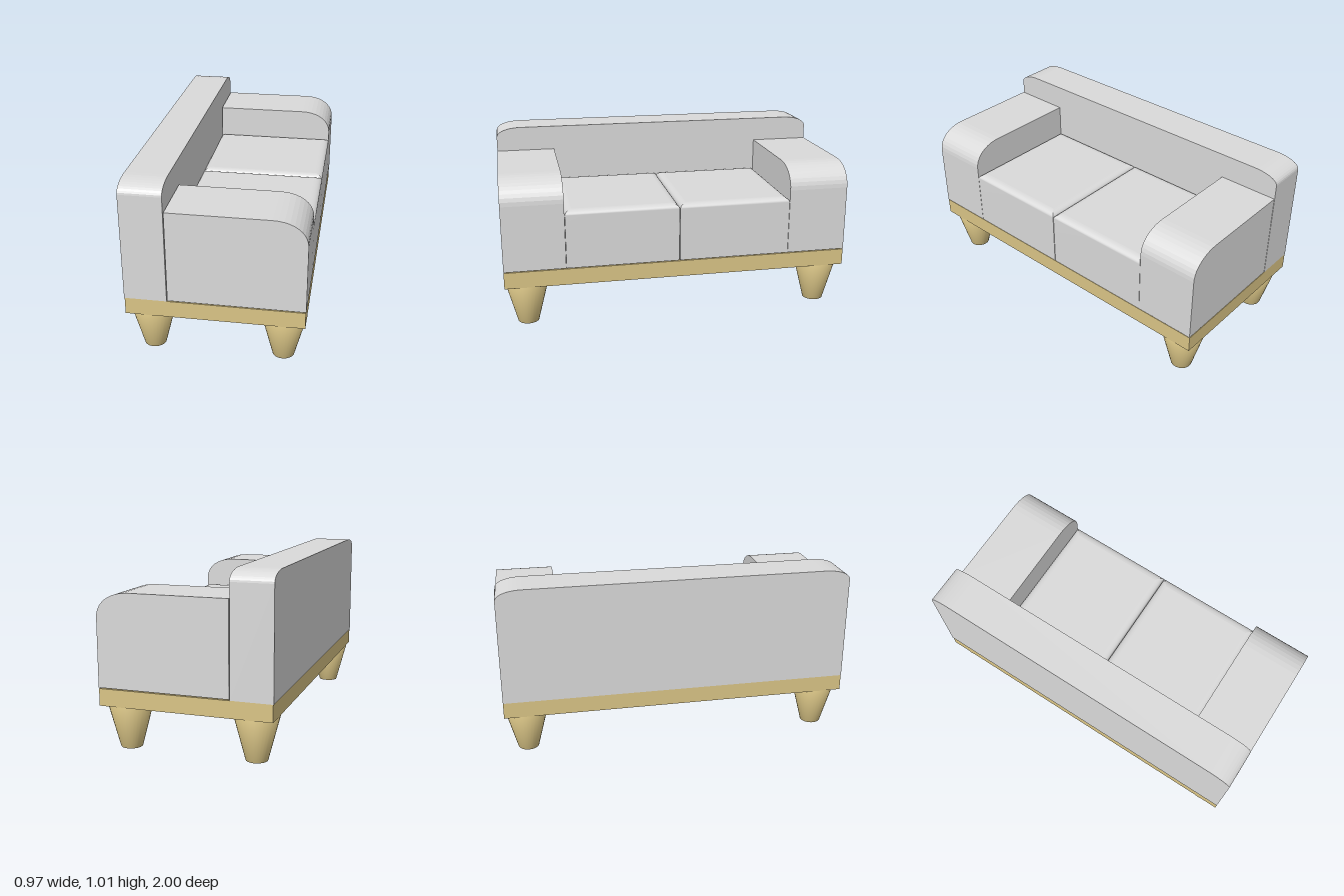
import * as THREE from 'three';
import { mergeVertices } from 'three/addons/utils/BufferGeometryUtils.js';

const fabric = new THREE.MeshStandardMaterial({ color: 0xdadada });
fabric.name = 'grey fabric';
const wood = new THREE.MeshStandardMaterial({ color: 0xdac586 });
wood.name = 'light wood';

function add(group, name, geometry, material, x = 0, y = 0, z = 0) {
  const mesh = new THREE.Mesh(geometry, material);
  mesh.name = name;
  mesh.position.set(x, y, z);
  group.add(mesh);
}

// Backrest: long slab with softly rounded upper ends, extruded through its thickness
function backrestGeometry() {
  const s = new THREE.Shape();
  s.moveTo(-1, 0.345);
  s.lineTo(1, 0.345);
  s.lineTo(1, 0.95);
  s.bezierCurveTo(1, 0.985, 0.94, 1.01, 0.85, 1.01);
  s.lineTo(-0.85, 1.01);
  s.bezierCurveTo(-0.94, 1.01, -1, 0.985, -1, 0.95);
  s.closePath();
  const g = new THREE.ExtrudeGeometry(s, { depth: 0.232, bevelEnabled: false, curveSegments: 10 });
  return g.rotateY(-Math.PI / 2);
}

// Armrest: side profile with one rounded upper corner
function armGeometry() {
  const s = new THREE.Shape();
  s.moveTo(-0.25, 0.35);
  s.lineTo(0.485, 0.35);
  s.lineTo(0.485, 0.73);
  s.bezierCurveTo(0.485, 0.81, 0.41, 0.867, 0.3, 0.867);
  s.lineTo(-0.25, 0.867);
  s.closePath();
  return new THREE.ExtrudeGeometry(s, { depth: 0.348, bevelEnabled: false, curveSegments: 10 });
}

// Seat cushion: box whose upper rows curve inwards
function cushionGeometry() {
  const rows = 7;
  const g = new THREE.BoxGeometry(0.735, 1, 0.648, 1, rows, 1);
  const p = g.attributes.position;
  for (let i = 0; i < p.count; i++) {
    const row = Math.round((p.getY(i) + 0.5) * rows);
    if (row === 0) {
      p.setY(i, 0.35);
      continue;
    }
    const a = ((row - 1) / (rows - 1)) * Math.PI / 2;
    const inset = 1 - Math.cos(a);
    p.setXYZ(i,
      p.getX(i) - Math.sign(p.getX(i)) * 0.045 * inset,
      0.66 + 0.026 * Math.sin(a),
      p.getZ(i) - Math.sign(p.getZ(i)) * 0.04 * inset);
  }
  g.computeVertexNormals();
  return g;
}

// Leg: tapered peg with normals blended over its ends
function legGeometry() {
  const g = new THREE.CylinderGeometry(0.125, 0.06, 0.25, 32);
  g.deleteAttribute('normal');
  g.deleteAttribute('uv');
  const merged = mergeVertices(g, 1e-4);
  merged.computeVertexNormals();
  return merged;
}

export function createModel() {
  const sofa = new THREE.Group();
  sofa.name = 'sofa';

  add(sofa, 'base', new THREE.BoxGeometry(0.966, 0.095, 2), wood, 0, 0.2975, 0);
  add(sofa, 'backrest', backrestGeometry(), fabric, -0.254, 0, 0);

  const arm = armGeometry();
  add(sofa, 'frontArmrest', arm, fabric, 0, 0, 0.652);
  add(sofa, 'rearArmrest', arm, fabric, 0, 0, -1);

  const cushion = cushionGeometry();
  add(sofa, 'frontCushion', cushion, fabric, 0.1175, 0, 0.326);
  add(sofa, 'rearCushion', cushion, fabric, 0.1175, 0, -0.326);

  const leg = legGeometry();
  for (const x of [-1, 1]) {
    for (const z of [-1, 1]) {
      add(sofa, `${z > 0 ? 'front' : 'rear'}${x > 0 ? 'Left' : 'Right'}Leg`, leg, wood, x * 0.36, 0.125, z * 0.873);
    }
  }
  return sofa;
}
